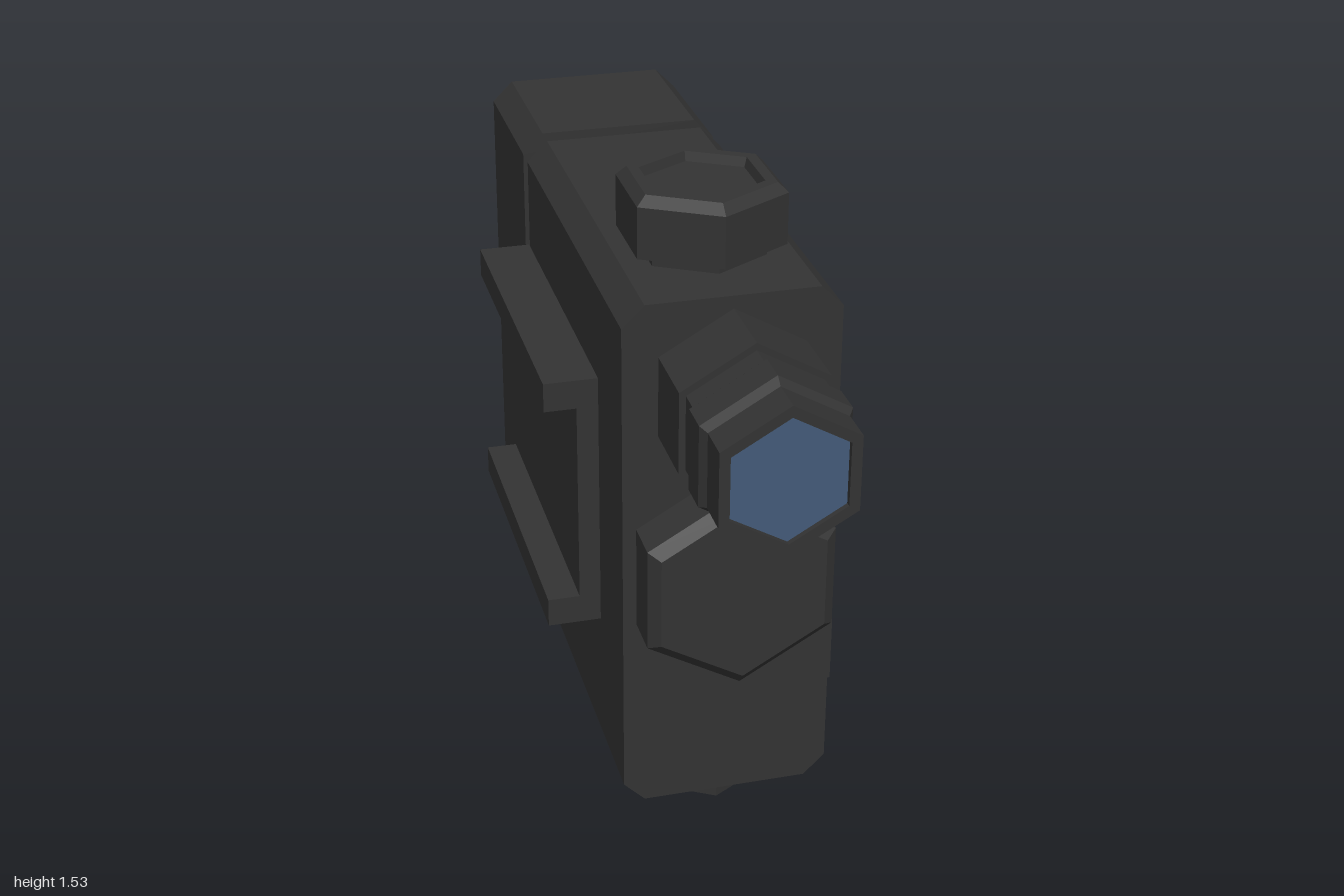
import * as THREE from 'three';

const CX = 0.035; // centre line of the housing
const mat = (name, color) => {
  const m = new THREE.MeshStandardMaterial({ color });
  m.name = name;
  return m;
};

export function createModel() {
  const group = new THREE.Group();
  const dark = mat('charcoal', 0x333333);
  const blue = mat('lens blue', 0x435a78);
  const olive = mat('label olive', 0x403f20);

  const add = (name, geo, material = dark) => {
    const mesh = new THREE.Mesh(geo, material);
    mesh.name = name;
    group.add(mesh);
    return mesh;
  };
  const box = (name, x0, x1, y0, y1, z0, z1, material) =>
    add(name, new THREE.BoxGeometry(x1 - x0, y1 - y0, z1 - z0), material)
      .position.set((x0 + x1) / 2, (y0 + y1) / 2, (z0 + z1) / 2);
  const poly = pts => pts.map(p => new THREE.Vector2(p[0], p[1]));
  const extrude = (shape, depth) =>
    new THREE.ExtrudeGeometry(shape, { depth, bevelEnabled: false, curveSegments: 5 });

  // Six-sided turned part from [radius, height] steps, pointing along an axis
  const turn = { up: [0, 0], front: [Math.PI / 2, 0], back: [-Math.PI / 2, 0], side: [0, -Math.PI / 2] };
  const hex = (name, axis, pos, profile, material) => {
    const geo = new THREE.LatheGeometry(poly(profile), 6).toNonIndexed();
    geo.computeVertexNormals();
    const mesh = add(name, geo, material);
    mesh.rotation.set(turn[axis][0], 0, turn[axis][1]);
    mesh.position.set(...pos);
    return mesh;
  };
  const hexPoints = (u, v, r, start) => Array.from({ length: 6 }, (_, i) => {
    const a = start + i * Math.PI / 3;
    return [u + r * Math.cos(a), v + r * Math.sin(a)];
  });

  // Housing: chamfered section; the front block has a notch for the side panel
  const L = -0.21, R = 0.28, B = 0.08, T = 1.36, C = 0.05, D = 0.04;
  const section = notch => new THREE.Shape(poly([
    [L + C, B], [R - C, B], [R, B + C],
    ...(notch ? [[R - D, B + C], [R - D, T - C]] : []),
    [R, T - C], [R - C, T], [L + C, T], [L, T - C], [L, B + C],
  ]));
  add('frontHousing', extrude(section(true), 0.98)).position.z = -0.4;
  add('rearHousing', extrude(section(false), 0.395)).position.z = -0.85;
  const neck = extrude(section(false), 0.075);
  neck.translate(-CX, -0.72, 0).scale(0.95, 0.95, 1);
  add('grooveNeck', neck).position.set(CX, 0.72, -0.465);

  // Side panel with window and knob recess, drawn in (-z, y)
  const panel = new THREE.Shape(poly([[-0.58, B + C], [0.4, B + C], [0.4, T - C], [-0.58, T - C]]));
  const win = new THREE.Path();
  const u0 = -0.51, u1 = -0.11, v0 = 0.57, v1 = 0.9, r = 0.035;
  win.moveTo(u0 + r, v0).lineTo(u1 - r, v0).quadraticCurveTo(u1, v0, u1, v0 + r)
    .lineTo(u1, v1 - r).quadraticCurveTo(u1, v1, u1 - r, v1)
    .lineTo(u0 + r, v1).quadraticCurveTo(u0, v1, u0, v1 - r)
    .lineTo(u0, v0 + r).quadraticCurveTo(u0, v0, u0 + r, v0);
  panel.holes.push(win, new THREE.Path(poly(hexPoints(0.135, 1.09, 0.174, 0))));
  const panelMesh = add('sidePanel', extrude(panel, D));
  panelMesh.rotation.y = Math.PI / 2;
  panelMesh.position.x = R - D;
  box('windowLabel', R - D - 0.002, R - D + 0.004, v0 + 0.002, v1 - 0.002, 0.365, 0.508, olive);

  // Side knob inside its recess
  hex('sideKnob', 'side', [R - D, 1.09, -0.135],
    [[0.125, 0], [0.125, 0.045], [0.092, 0.066], [0, 0.066]]);

  // Slotted side cap
  const cap = new THREE.Shape(poly(hexPoints(0, 0, 0.17, Math.PI / 6)));
  const ca = Math.cos(Math.PI / 6), sa = 0.5;
  cap.holes.push(new THREE.Path(poly([[-0.13, -0.037], [0.13, -0.037], [0.13, 0.037], [-0.13, 0.037]]
    .map(([a, b]) => [a * ca - b * sa, a * sa + b * ca]))));
  const capMesh = add('slottedCap', extrude(cap, 0.05));
  capMesh.rotation.y = Math.PI / 2;
  capMesh.position.set(R, 0.345, 0.31);
  const floor = hex('slotFloor', 'side', [R, 0.345, 0.31], [[0.165, 0], [0.165, 0.025], [0, 0.025]]);
  floor.geometry.rotateY(Math.PI / 6);

  // Top dial with dished face, and bottom foot
  hex('topDial', 'up', [CX, T, 0.315], [
    [0.15, 0], [0.15, 0.03], [0.195, 0.03], [0.195, 0.15], [0.17, 0.172],
    [0.142, 0.172], [0.135, 0.15], [0, 0.15]]);
  hex('bottomFoot', 'up', [CX, 0, 0.315], [[0, 0], [0.195, 0], [0.195, 0.09]]);

  // Front optics
  hex('lensBarrel', 'front', [CX, 1.14, 0.58], [
    [0.19, 0], [0.19, 0.17], [0.173, 0.17], [0.173, 0.22], [0.187, 0.24], [0.187, 0.315],
    [0.172, 0.335], [0.172, 0.42], [0.145, 0.42], [0.145, 0.405], [0, 0.405]]);
  hex('lens', 'front', [CX, 1.14, 0.984], [[0.144, 0], [0.144, 0.005], [0, 0.005]], blue);
  hex('frontCap', 'front', [CX, 0.695, 0.58],
    [[0.247, 0], [0.247, 0.1], [0.217, 0.124], [0, 0.124]]);

  // Rear knobs
  hex('rearUpperKnob', 'back', [CX, 0.967, -0.85], [
    [0.17, 0], [0.17, 0.02], [0.188, 0.028], [0.188, 0.1], [0.176, 0.11],
    [0.176, 0.13], [0.155, 0.15], [0, 0.15]]);
  hex('rearLowerSocket', 'back', [CX, 0.425, -0.85], [
    [0.197, 0], [0.197, 0.15], [0.13, 0.15], [0.12, 0.11], [0, 0.11]]);

  // Mounting rail on the other side
  box('railPlate', -0.26, L, 0.45, 1.085, -0.41, 0.355);
  for (const y of [0.45, 1.015]) box('railLip', -0.335, -0.255, y, y + 0.07, -0.41, 0.355);

  return group;
}
